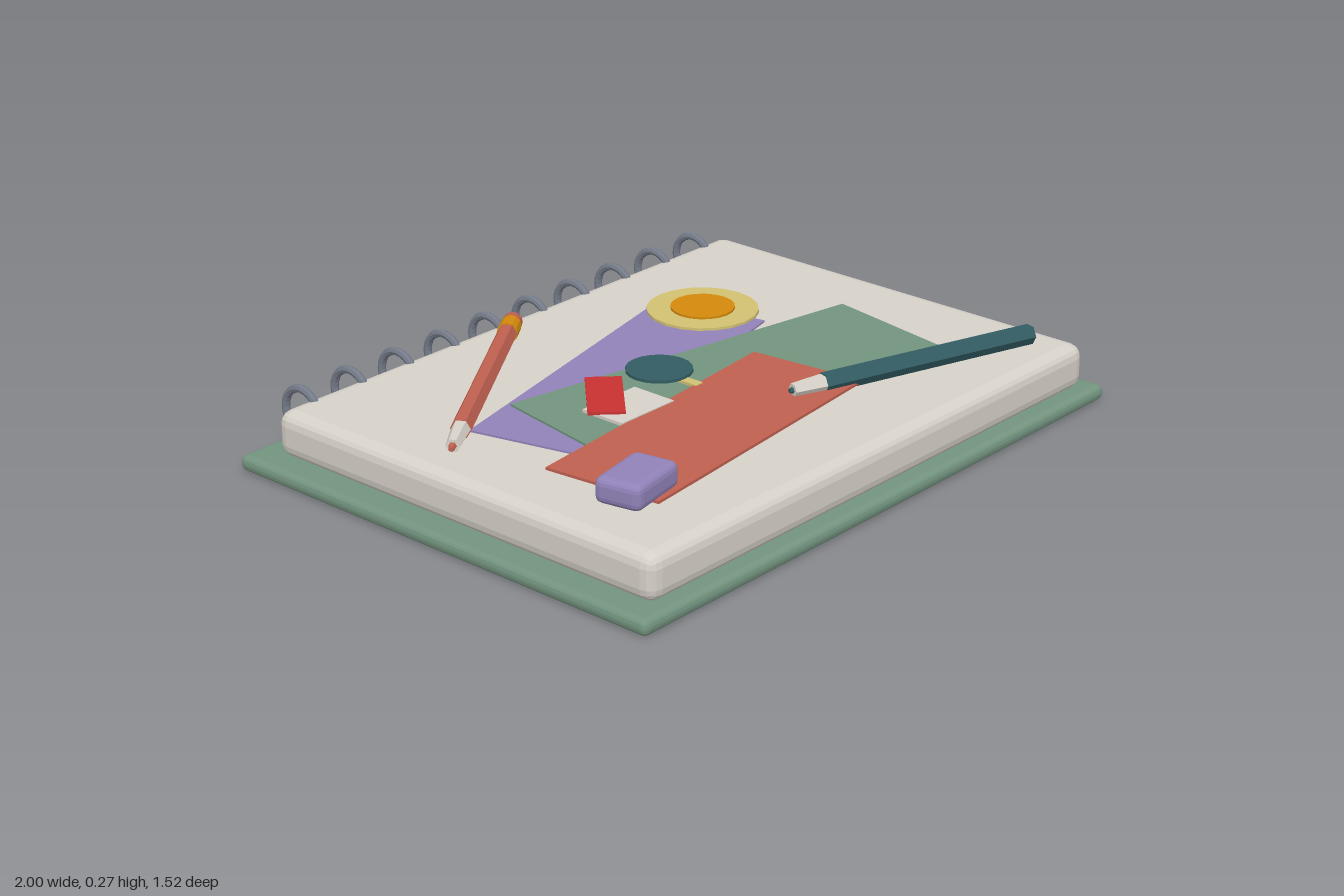
import * as THREE from 'three';
import { RoundedBoxGeometry } from 'three/addons/geometries/RoundedBoxGeometry.js';

const mat = (name, color) => {
  const m = new THREE.MeshStandardMaterial({ color, flatShading: true });
  m.name = name;
  return m;
};

export function createModel() {
  const model = new THREE.Group();
  model.name = 'sketchPad';

  const green = mat('sage green', 0x73947f);
  const paper = mat('warm paper', 0xd6d1c8);
  const purple = mat('lavender', 0x9182b8);
  const coral = mat('coral red', 0xc06050);
  const teal = mat('dark teal', 0x325c62);
  const straw = mat('straw yellow', 0xd2c172);
  const orange = mat('amber', 0xd48a0c);
  const red = mat('bright red', 0xc83232);
  const steel = mat('steel grey', 0x747a88);

  const add = (name, geometry, material, x, y, z, turn = 0, parent = model) => {
    const mesh = new THREE.Mesh(geometry, material);
    mesh.name = name;
    mesh.position.set(x, y, z);
    mesh.rotation.y = turn;
    parent.add(mesh);
    return mesh;
  };
  // Flat rectangle and disc lying between heights y0 and y1
  const sheet = (name, material, w, d, x, z, y0, y1, turn = 0) =>
    add(name, new THREE.BoxGeometry(w, y1 - y0, d), material, x, (y0 + y1) / 2, z, turn);
  const disc = (name, material, r, sides, x, z, y0, y1) =>
    add(name, new THREE.CylinderGeometry(r, r, y1 - y0, sides), material, x, (y0 + y1) / 2, z);

  // Backing board and thick page block
  add('backingBoard', new RoundedBoxGeometry(2, 0.047, 1.51, 2, 0.02), green, 0, 0.0235, 0);
  add('pageBlock', new RoundedBoxGeometry(1.875, 0.137, 1.387, 2, 0.04), paper, 0, 0.118, 0.028);

  // Spiral binding rings
  const ring = new THREE.TorusGeometry(0.069, 0.012, 8, 24);
  for (let i = 0; i < 10; i++) {
    add('bindingRing', ring, steel, -0.82 + i * 0.1822, 0.137, -0.686, Math.PI / 2);
  }

  // Overlapping cut-paper hills
  sheet('purpleHill', purple, 1.085, 0.352, -0.12, -0.12, 0.184, 0.192, 0.242);
  sheet('greenHill', green, 1.21, 0.421, 0.06, 0.12, 0.19, 0.198, -0.175);
  sheet('coralHill', coral, 0.97, 0.362, -0.243, 0.305, 0.196, 0.204, -0.108);
  model.getObjectByName('coralHill').rotation.y = 0.108;

  // Sun
  disc('sunHalo', straw, 0.167, 20, 0.39, -0.27, 0.19, 0.2);
  disc('sunCore', orange, 0.096, 20, 0.39, -0.27, 0.198, 0.207);

  // House and tree
  sheet('houseWall', paper, 0.21, 0.145, -0.305, 0.067, 0.198, 0.207);
  sheet('houseRoof', red, 0.25, 0.104, -0.305, -0.02, 0.206, 0.214, Math.PI / 4);
  sheet('treeTrunk', straw, 0.03, 0.12, -0.065, 0.055, 0.198, 0.206);
  disc('treeCrown', teal, 0.096, 20, -0.065, -0.035, 0.205, 0.214);

  // Rubber block
  add('rubberBlock', new RoundedBoxGeometry(0.205, 0.075, 0.14, 2, 0.022), purple, -0.7, 0.233, 0.457, 0.19);

  // Pencil: sections run from the tip along local +x
  // section = [name, material, from, to, start radius, end radius, sides]
  const pencil = (name, tip, end, sections) => {
    const group = new THREE.Group();
    group.name = name;
    const a = new THREE.Vector3(...tip);
    const d = new THREE.Vector3(...end).sub(a);
    group.position.copy(a);
    group.rotation.y = -Math.atan2(d.z, d.x);
    group.rotation.z = Math.atan2(d.y, Math.hypot(d.x, d.z));
    for (const [part, material, from, to, r0, r1, sides] of sections) {
      const geometry = new THREE.CylinderGeometry(r1, r0, to - from, sides).rotateZ(-Math.PI / 2);
      add(part, geometry, material, (from + to) / 2, 0, 0, 0, group);
    }
    model.add(group);
  };

  pencil('coralPencil', [-0.87, 0.23, -0.045], [-0.092, 0.217, -0.583], [
    ['lead', coral, 0, 0.03, 0.007, 0.012, 6],
    ['woodTip', paper, 0.025, 0.14, 0.02, 0.027, 6],
    ['body', coral, 0.14, 0.85, 0.03, 0.03, 6],
    ['ferrule', orange, 0.85, 0.917, 0.031, 0.031, 12],
    ['eraser', coral, 0.917, 0.948, 0.029, 0.029, 12],
  ]);
  pencil('tealPencil', [0.04, 0.218, 0.352], [0.825, 0.217, 0.602], [
    ['lead', teal, 0, 0.02, 0.007, 0.012, 6],
    ['woodTip', paper, 0.01, 0.11, 0.02, 0.027, 6],
    ['body', teal, 0.11, 0.824, 0.03, 0.03, 6],
  ]);

  return model;
}
